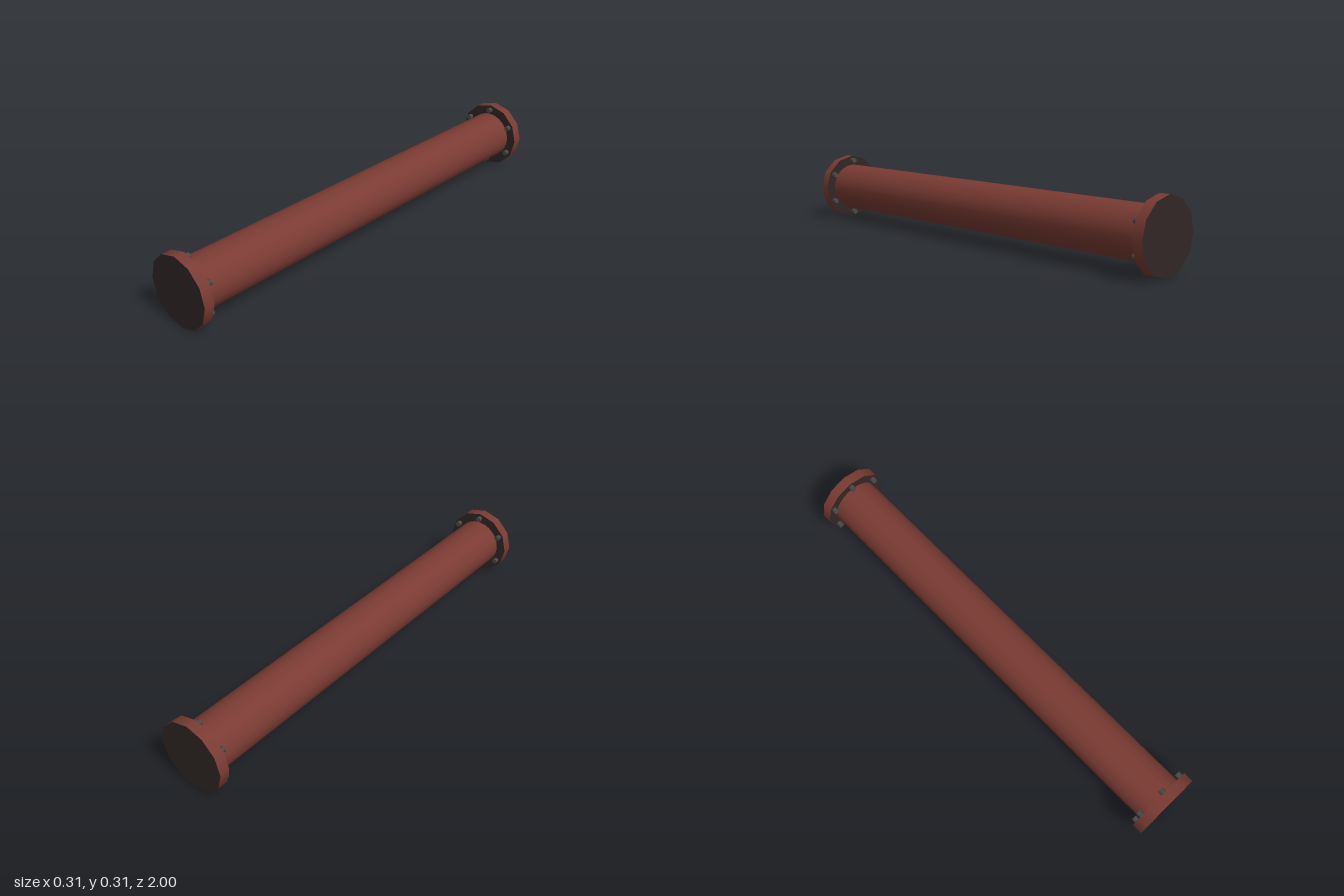
import * as THREE from 'three';

const CY = 0.155; // height of the pipe axis

export function createModel() {
  const rust = new THREE.MeshStandardMaterial({ color: 0x7a3b33 });
  rust.name = 'rust red';
  const dark = new THREE.MeshStandardMaterial({ color: 0x302625 });
  dark.name = 'dark iron';
  const steel = new THREE.MeshStandardMaterial({ color: 0x4a4a48 });
  steel.name = 'bolt steel';

  const model = new THREE.Group();
  model.name = 'flangedPipe';

  // Cylinder geometry lying along z
  const rod = (radius, length, sides, open = false) =>
    new THREE.CylinderGeometry(radius, radius, length, sides, 1, open).rotateX(Math.PI / 2);

  const add = (parent, name, geometry, material, x, y, z) => {
    const mesh = new THREE.Mesh(geometry, material);
    mesh.name = name;
    mesh.position.set(x, y, z);
    parent.add(mesh);
    return mesh;
  };

  // Long pipe between the flanges
  add(model, 'pipe', rod(0.109, 1.92, 24, true), rust, 0, CY, 0);

  // A twelve-sided flange with six bolts at each end
  const flangeGeo = rod(0.154, 0.045, 12);
  const boltGeo = rod(0.013, 0.03, 6);
  for (const side of [1, -1]) {
    const end = new THREE.Group();
    end.name = side > 0 ? 'frontEnd' : 'backEnd';
    end.position.y = CY;
    model.add(end);
    add(end, 'flange', flangeGeo, [rust, dark, dark], 0, 0, side * 0.9775);
    for (let i = 0; i < 6; i++) {
      const a = Math.PI / 2 + (i * Math.PI) / 3;
      add(end, 'bolt', boltGeo, steel, 0.131 * Math.cos(a), 0.131 * Math.sin(a), side * 0.95);
    }
  }
  return model;
}
